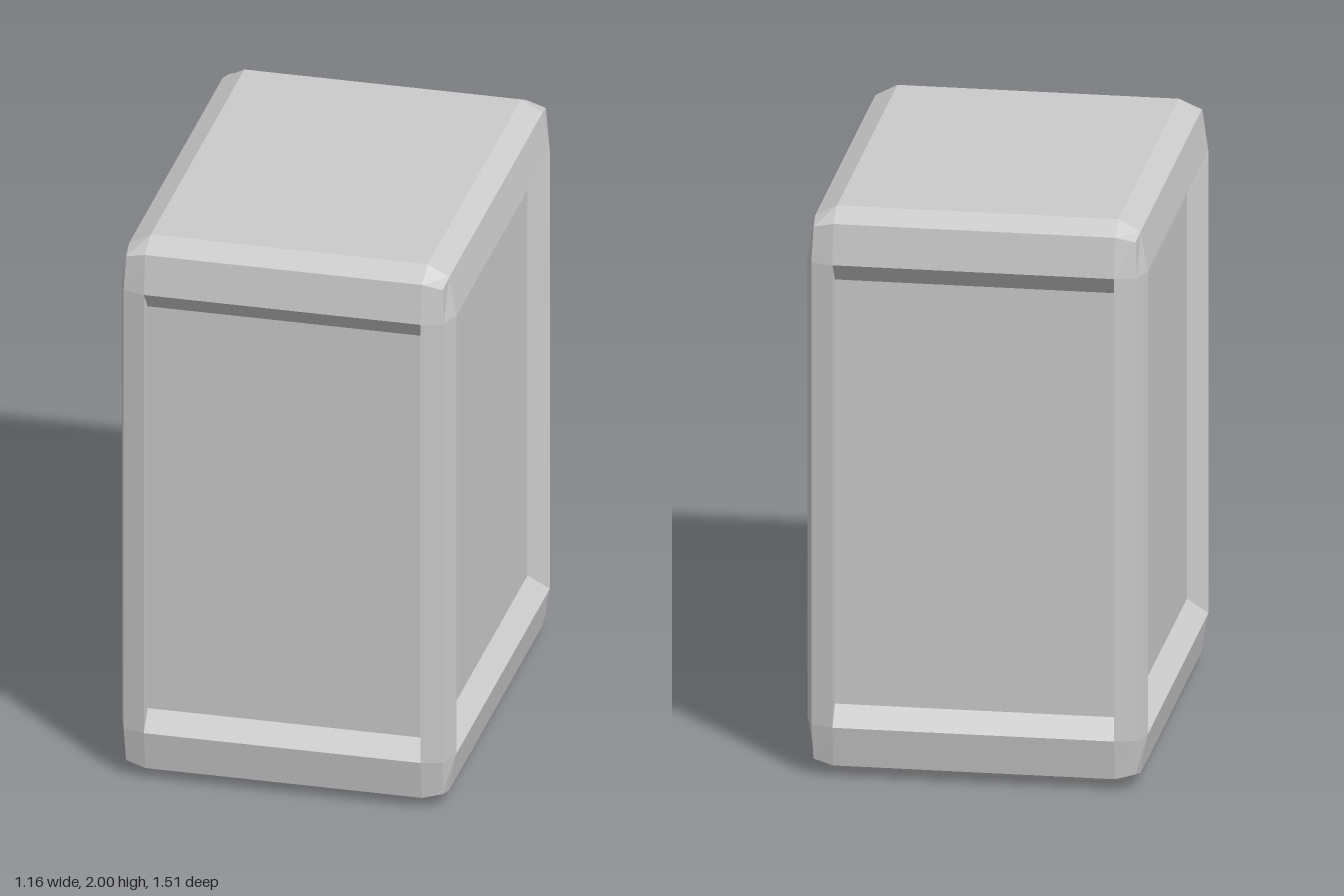
import * as THREE from 'three';

// Half sizes on x, y, z: flat faces end, bevel ridge, corner point, outermost face
const FLAT = [0.48, 0.82, 0.655];
const RIDGE = [0.555, 0.96, 0.735];
const CORNER = [0.549, 0.943, 0.724];
const OUTER = [0.58, 1, 0.755];

const material = new THREE.MeshStandardMaterial({ color: 0xcccccc, flatShading: true });

// Bevelled block: a 3 x 3 x 3 grid box whose rows are moved onto the bevel levels,
// with the middle of the four upright faces left open for the panels
function frameGeometry() {
  const geo = new THREE.BoxGeometry(3, 3, 3, 3, 3, 3);
  const pos = geo.attributes.position;
  for (let i = 0; i < pos.count; i++) {
    const p = [pos.getX(i), pos.getY(i), pos.getZ(i)];
    const extreme = p.map((v) => Math.abs(v) > 1);
    const level = [null, OUTER, RIDGE, CORNER][extreme.filter(Boolean).length];
    const q = p.map((v, a) => Math.sign(v) * (extreme[a] ? level[a] : FLAT[a]));
    pos.setXYZ(i, ...q);
  }
  // Box faces run +x, -x, +y, -y, +z, -z with 54 indices each; the middle quad is 24..29
  const kept = Array.from(geo.index.array).filter((_, k) => {
    const face = Math.floor(k / 54), local = k % 54;
    const upright = face < 2 || face > 3;
    return !(upright && local >= 24 && local < 30);
  });
  geo.setIndex(kept);
  geo.clearGroups();
  geo.computeVertexNormals();
  return geo;
}

// Sunken panel facing +z: opening at z = 0, floor at z = -depth, four walls between
function panelGeometry(halfW, halfH, floorW, floorH, depth) {
  const ring = (w, h, z) => [[-w, -h, z], [w, -h, z], [w, h, z], [-w, h, z]];
  const rim = ring(halfW, halfH, 0);
  const floor = ring(floorW, floorH, -depth);
  const points = [];
  const quad = (a, b, c, d) => points.push(...a, ...b, ...c, ...a, ...c, ...d);
  quad(...floor);
  for (let i = 0; i < 4; i++) {
    const j = (i + 1) % 4;
    quad(rim[i], rim[j], floor[j], floor[i]);
  }
  const geo = new THREE.BufferGeometry();
  geo.setAttribute('position', new THREE.Float32BufferAttribute(points, 3));
  geo.computeVertexNormals();
  return geo;
}

export function createModel() {
  const model = new THREE.Group();
  model.name = 'panelledBlock';

  const frame = new THREE.Mesh(frameGeometry(), material);
  frame.name = 'bevelledFrame';
  frame.position.y = 1;
  model.add(frame);

  // Front and back panels have straight upright walls; side panels slope all round
  const narrow = panelGeometry(FLAT[0], FLAT[1], FLAT[0], 0.752, 0.055);
  const wide = panelGeometry(FLAT[2], FLAT[1], 0.603, 0.754, 0.065);
  const panels = [
    ['frontPanel', narrow, 0, OUTER[2]],
    ['leftPanel', wide, 1, OUTER[0]],
    ['backPanel', narrow, 2, OUTER[2]],
    ['rightPanel', wide, 3, OUTER[0]],
  ];
  for (const [name, geo, turn, reach] of panels) {
    const panel = new THREE.Mesh(geo, material);
    const angle = (turn * Math.PI) / 2;
    panel.name = name;
    panel.rotation.y = angle;
    panel.position.set(Math.sin(angle) * reach, 1, Math.cos(angle) * reach);
    model.add(panel);
  }
  return model;
}
